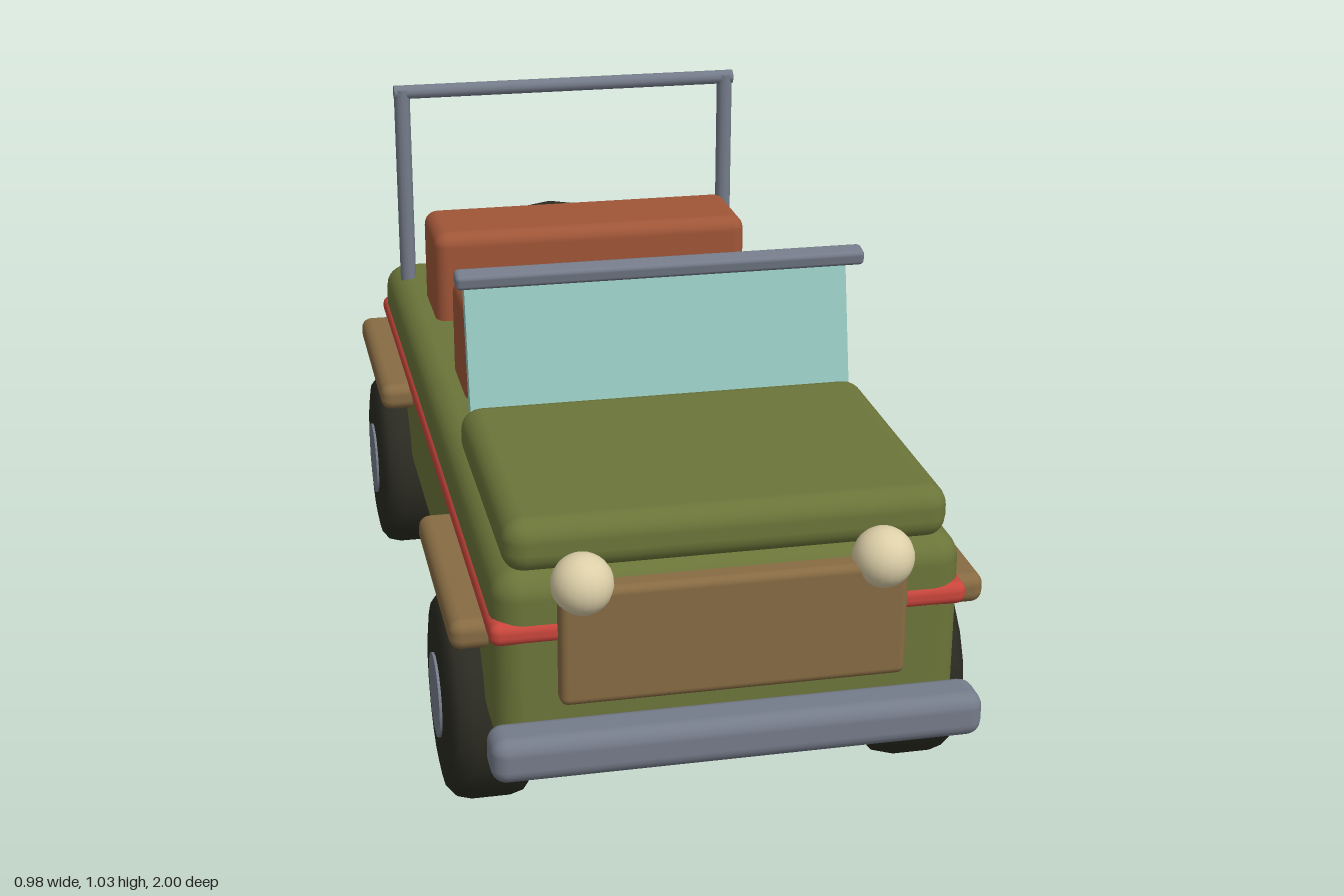
import * as THREE from 'three';
import { RoundedBoxGeometry } from 'three/addons/geometries/RoundedBoxGeometry.js';

const mat = (name, color) => {
  const m = new THREE.MeshStandardMaterial({ color });
  m.name = name;
  return m;
};

export function createModel() {
  const car = new THREE.Group();
  car.name = 'offRoadCar';

  const olive = mat('olive paint', 0x6b7539);
  const red = mat('red paint', 0xc9463c);
  const brown = mat('brown trim', 0x876b43);
  const leather = mat('seat leather', 0xa05638);
  const steel = mat('grey steel', 0x757c8a);
  const rubber = mat('tyre rubber', 0x2b2b22);
  const cream = mat('lamp cream', 0xdccfa8);
  const glass = mat('glass teal', 0x98cbc3);

  const add = (name, geometry, material, x, y, z, parent = car) => {
    const mesh = new THREE.Mesh(geometry, material);
    mesh.name = name;
    mesh.position.set(x, y, z);
    parent.add(mesh);
    return mesh;
  };

  // Rounded box given by its lower and upper limits on each axis
  const block = (name, material, [x0, x1], [y0, y1], [z0, z1], radius) => add(
    name, new RoundedBoxGeometry(x1 - x0, y1 - y0, z1 - z0, 3, radius), material,
    (x0 + x1) / 2, (y0 + y1) / 2, (z0 + z1) / 2);

  // Wheel with its axle along y and its hub at the outer (+y) end
  const wheel = (name, radius, width) => {
    const group = new THREE.Group();
    group.name = name;
    const h = width / 2;
    const profile = [
      [0, -h], [radius - 0.055, -h], [radius - 0.025, -h + 0.005], [radius - 0.007, -h + 0.02],
      [radius, -h + 0.045], [radius, h - 0.045], [radius - 0.007, h - 0.02],
      [radius - 0.025, h - 0.005], [radius - 0.055, h], [0, h],
    ].map(([r, y]) => new THREE.Vector2(r, y));
    add('tyre', new THREE.LatheGeometry(profile, 20), rubber, 0, 0, 0, group);
    add('hub', new THREE.CylinderGeometry(0.08, 0.08, 0.02, 20), steel, 0, h - 0.005, 0, group);
    car.add(group);
    return group;
  };

  // Body shell, bonnet and waistline
  block('body', olive, [-0.42, 0.42], [0.23, 0.577], [-0.862, 0.908], 0.05);
  block('bonnet', olive, [-0.397, 0.397], [0.565, 0.665], [0.315, 0.89], 0.04);
  block('waistStripe', red, [-0.427, 0.427], [0.447, 0.49], [-0.868, 0.913], 0.018);

  // Nose
  block('grille', brown, [-0.31, 0.31], [0.335, 0.557], [0.88, 0.938], 0.015);
  block('frontBumper', steel, [-0.44, 0.44], [0.226, 0.31], [0.907, 1], 0.028);

  // Seats
  block('frontSeat', leather, [-0.35, 0.35], [0.53, 0.775], [-0.132, 0.086], 0.03);
  block('rearSeat', leather, [-0.35, 0.35], [0.53, 0.775], [-0.618, -0.4], 0.03);

  // Windscreen and its top rail
  const screen = add('windscreen', new THREE.BoxGeometry(0.75, 0.265, 0.027), glass, 0, 0.777, 0.29);
  screen.rotation.x = -0.21;
  const rail = add('windscreenRail', new RoundedBoxGeometry(0.794, 0.03, 0.04, 2, 0.009),
    steel, 0, 0.914, 0.316);
  rail.rotation.x = 0.2;

  // Steering lever
  const lever = add('steeringLever', new RoundedBoxGeometry(0.054, 0.175, 0.022, 2, 0.008),
    brown, -0.182, 0.758, 0.181);
  lever.rotation.x = 0.7;

  // Roll bar
  for (const side of [-1, 1]) {
    add('rollBarPost', new THREE.CylinderGeometry(0.018, 0.018, 0.465, 12), steel,
      side * 0.377, 0.7925, -0.728);
  }
  const hoop = add('rollBarTop', new THREE.CylinderGeometry(0.016, 0.016, 0.79, 12), steel,
    0, 1.018, -0.728);
  hoop.rotation.z = Math.PI / 2;

  // Headlamps, mudguards and road wheels
  for (const side of [-1, 1]) {
    const tag = side > 0 ? 'left' : 'right';
    add(tag + 'Headlamp', new THREE.SphereGeometry(0.055, 20, 14), cream, side * 0.267, 0.559, 0.914);
    for (const [end, z] of [['Front', 0.6], ['Rear', -0.55]]) {
      const guard = [0.36, 0.487].map((x) => x * side).sort((a, b) => a - b);
      block(tag + end + 'Mudguard', brown, guard, [0.408, 0.465], [z - 0.24, z + 0.24], 0.022);
      const w = wheel(tag + end + 'Wheel', 0.198, 0.162);
      w.position.set(side * 0.406, 0.2, z);
      w.rotation.z = -side * Math.PI / 2;
    }
  }

  // Spare wheel and fuel can on the tail
  const spare = wheel('spareWheel', 0.185, 0.13);
  spare.position.set(0, 0.49, -0.927);
  spare.rotation.x = -Math.PI / 2;
  block('fuelCan', red, [0.263, 0.392], [0.484, 0.677], [-0.927, -0.842], 0.016);

  return car;
}
